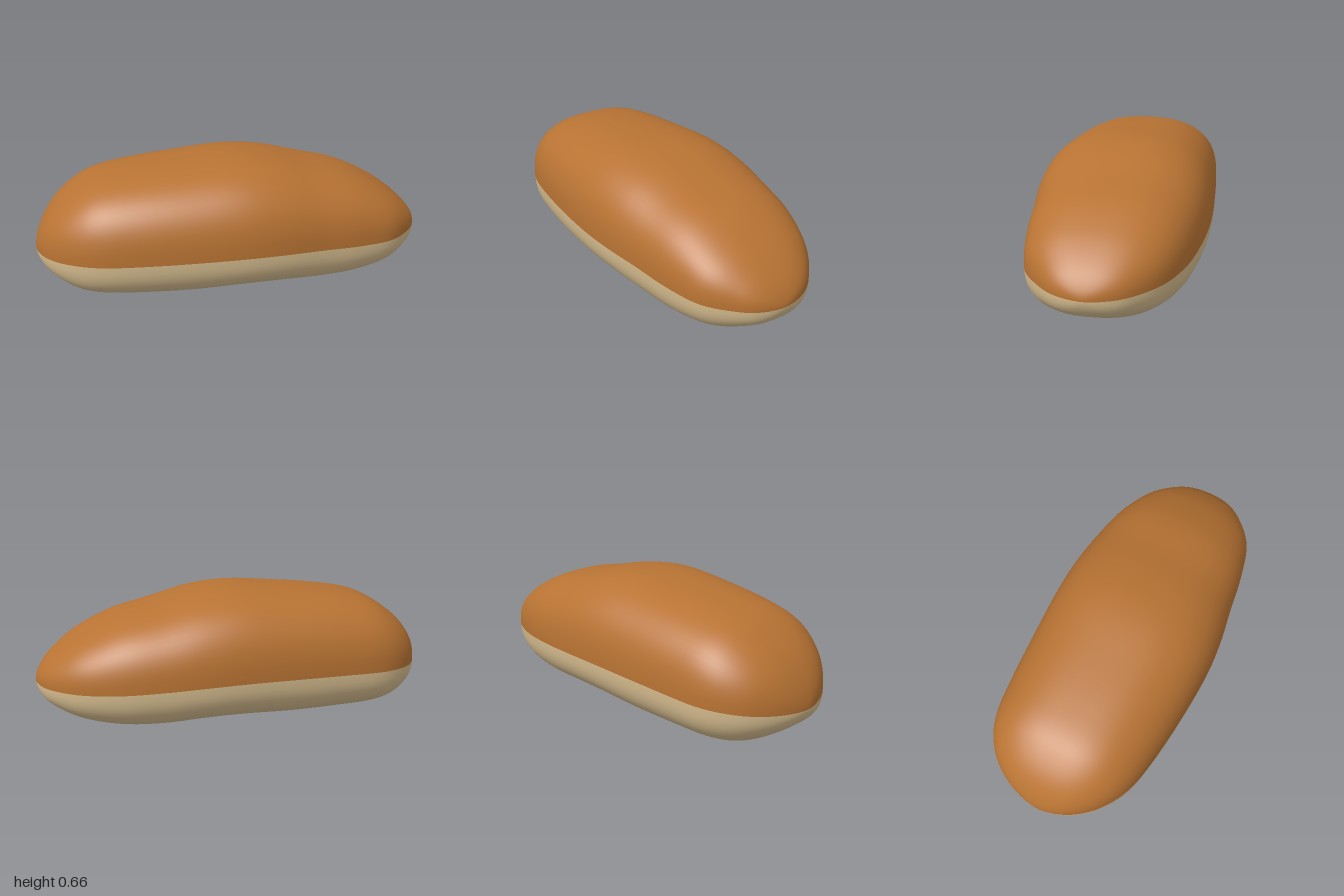
import * as THREE from 'three';

// Stations along the loaf: x, top, bottom, front half-width, back half-width, seam height
const STATIONS = [
  [-1.0, 0.22, 0.22, 0, 0, 0.22],
  [-0.97, 0.33, 0.155, 0.13, 0.145, 0.227],
  [-0.9, 0.435, 0.095, 0.24, 0.27, 0.238],
  [-0.8, 0.52, 0.04, 0.325, 0.355, 0.248],
  [-0.68, 0.58, 0.018, 0.38, 0.4, 0.254],
  [-0.5, 0.615, 0.012, 0.415, 0.42, 0.26],
  [-0.25, 0.642, 0.01, 0.44, 0.437, 0.266],
  [0.0, 0.66, 0.02, 0.45, 0.45, 0.27],
  [0.2, 0.64, 0.018, 0.435, 0.45, 0.266],
  [0.4, 0.59, 0.005, 0.4, 0.432, 0.255],
  [0.6, 0.54, 0.012, 0.367, 0.395, 0.243],
  [0.78, 0.455, 0.048, 0.315, 0.325, 0.235],
  [0.9, 0.37, 0.1, 0.22, 0.23, 0.23],
  [0.97, 0.295, 0.152, 0.125, 0.13, 0.226],
  [1.0, 0.223, 0.223, 0, 0, 0.223],
];
const STEPS = 6; // rings between two stations
const SIDES = 64; // points round each ring

// Reflect a station through the tip so that the ends round off smoothly
const mirrored = ([x, top, bottom, front, back, seam]) =>
  [x, 2 * seam - top, 2 * seam - bottom, -front, -back, seam];

const catmull = (a, b, c, d, t) =>
  0.5 * (2 * b + (c - a) * t + (2 * a - 5 * b + 4 * c - d) * t * t + (3 * b - a - 3 * c + d) * t * t * t);

function sampleStations() {
  const n = STATIONS.length;
  const p = [mirrored(STATIONS[1]), ...STATIONS, mirrored(STATIONS[n - 2])];
  const rings = [];
  for (let i = 1; i < n; i++)
    for (let s = 0; s < STEPS; s++)
      rings.push(p[i].map((v, k) => catmull(p[i - 1][k], v, p[i + 1][k], p[i + 2][k], s / STEPS)));
  rings.push(STATIONS[n - 1]);
  return rings;
}

const rounded = (v) => Math.sign(v) * Math.pow(Math.abs(v), 2 / 2.55);

function bunGeometry() {
  const rings = sampleStations();
  const positions = [];
  for (const [x, top, bottom, front, back, seam] of rings) {
    for (let j = 0; j < SIDES; j++) {
      const a = (j / SIDES) * Math.PI * 2;
      const c = rounded(Math.cos(a));
      const s = j % (SIDES / 2) === 0 ? 0 : rounded(Math.sin(a));
      positions.push(x, seam + s * (s > 0 ? top - seam : seam - bottom), c * (c > 0 ? front : back));
    }
  }
  // Upper half of every ring is crust, lower half is base
  const halves = [[], []];
  for (let i = 0; i < rings.length - 1; i++) {
    for (let j = 0; j < SIDES; j++) {
      const k = (j + 1) % SIDES;
      const a = i * SIDES + j, b = a + SIDES, c = i * SIDES + k, d = c + SIDES;
      const half = halves[j < SIDES / 2 ? 0 : 1];
      if (i > 0) half.push(a, b, c);
      if (i < rings.length - 2) half.push(b, d, c);
      if (i === 0) half.push(a, b, d);
      if (i === rings.length - 2) half.pop(), half.pop(), half.pop(), half.push(a, b, c);
    }
  }
  const geometry = new THREE.BufferGeometry();
  geometry.setAttribute('position', new THREE.Float32BufferAttribute(positions, 3));
  geometry.setIndex([...halves[0], ...halves[1]]);
  geometry.addGroup(0, halves[0].length, 0);
  geometry.addGroup(halves[0].length, halves[1].length, 1);
  geometry.computeVertexNormals();
  // Tips point straight along the loaf
  const last = (rings.length - 1) * SIDES;
  for (let j = 0; j < SIDES; j++) {
    geometry.attributes.normal.setXYZ(j, -1, 0, 0);
    geometry.attributes.normal.setXYZ(last + j, 1, 0, 0);
  }
  return geometry;
}

export function createModel() {
  const crust = new THREE.MeshStandardMaterial({ color: 0xb87333 });
  crust.name = 'brown crust';
  const base = new THREE.MeshStandardMaterial({ color: 0xd2b98c });
  base.name = 'pale base';

  const group = new THREE.Group();
  group.name = 'breadRoll';
  const bun = new THREE.Mesh(bunGeometry(), [crust, base]);
  bun.name = 'bun';
  group.add(bun);
  return group;
}
